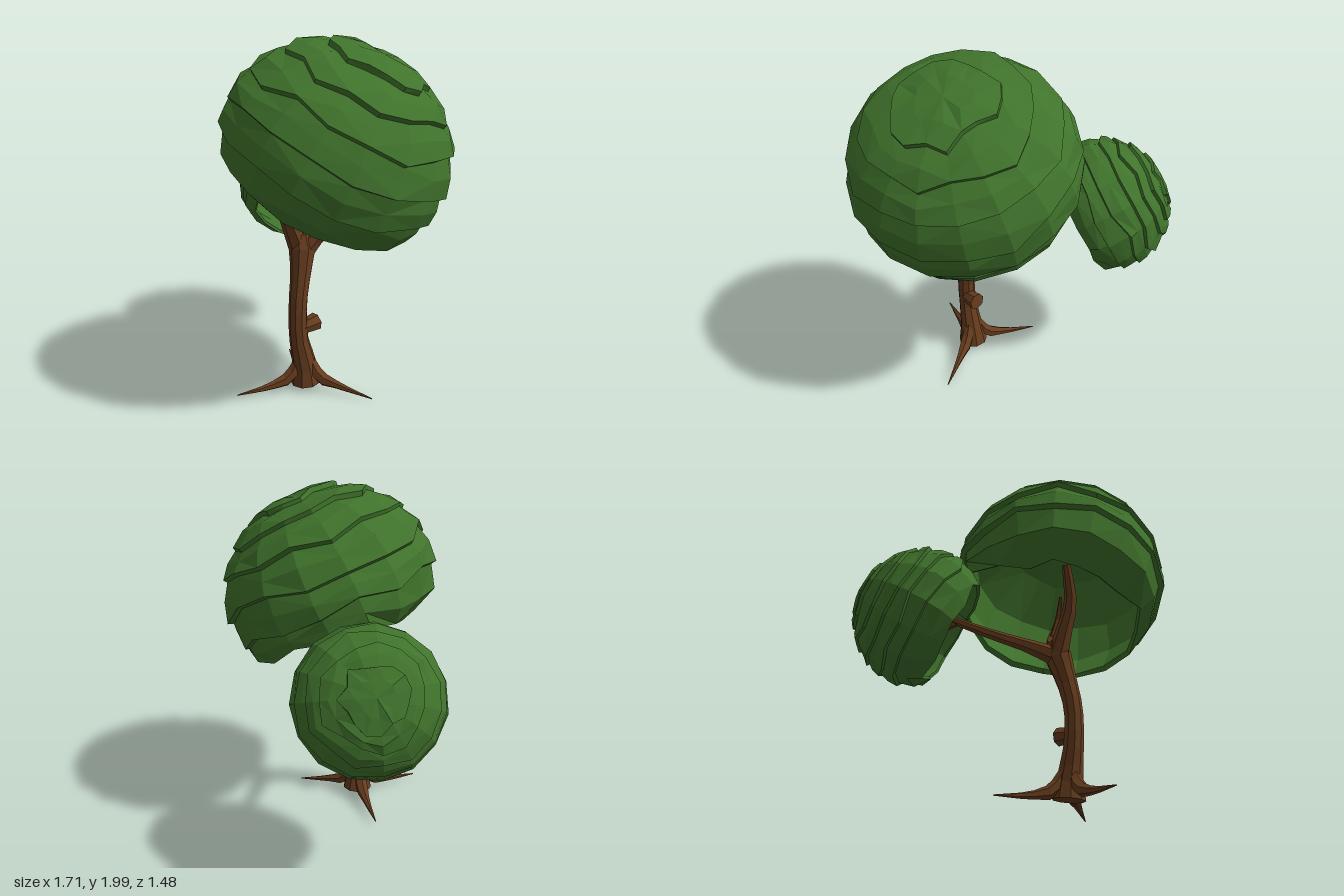
import * as THREE from 'three';

const bark = new THREE.MeshStandardMaterial({ color: 0x663c1e, flatShading: true, side: THREE.DoubleSide });
const leaf = new THREE.MeshStandardMaterial({ color: 0x40732c, flatShading: true, side: THREE.DoubleSide });

function seeded(seed) {
  return () => {
    seed = (seed * 16807) % 2147483647;
    return seed / 2147483647;
  };
}

// Faceted skin over rows of points, each row a closed loop
function skin(rows) {
  const n = rows[0].length, pos = [], index = [];
  rows.forEach(row => row.forEach(p => pos.push(p.x, p.y, p.z)));
  for (let i = 0; i < rows.length - 1; i++) {
    for (let j = 0; j < n; j++) {
      const a = i * n + j, b = i * n + (j + 1) % n, c = a + n, d = b + n;
      if ((i + j) % 2) index.push(a, b, c, b, d, c);
      else index.push(a, b, d, a, d, c);
    }
  }
  const geo = new THREE.BufferGeometry();
  geo.setAttribute('position', new THREE.Float32BufferAttribute(pos, 3));
  geo.setIndex(index);
  const flat = geo.toNonIndexed();
  flat.computeVertexNormals();
  return flat;
}

// Tapered limb; each point is [x, y, z, radius]
function limb(name, pts, sides = 6, steps = 6) {
  const curve = new THREE.CatmullRomCurve3(pts.map(p => new THREE.Vector3(p[0], p[1], p[2])));
  const frames = curve.computeFrenetFrames(steps);
  const rows = [];
  for (let i = 0; i <= steps; i++) {
    const u = i / steps, t = curve.getUtoTmapping(u), c = curve.getPoint(t);
    const f = t * (pts.length - 1), k = Math.min(Math.floor(f), pts.length - 2);
    const r = THREE.MathUtils.lerp(pts[k][3], pts[k + 1][3], f - k);
    const ring = [];
    for (let j = 0; j < sides; j++) {
      const a = (j / sides) * Math.PI * 2;
      ring.push(c.clone()
        .addScaledVector(frames.normals[i], Math.cos(a) * r)
        .addScaledVector(frames.binormals[i], Math.sin(a) * r));
    }
    if (i === 0) rows.push(ring.map(() => c));
    rows.push(ring);
    if (i === steps) rows.push(ring.map(() => c));
  }
  const mesh = new THREE.Mesh(skin(rows), bark);
  mesh.name = name;
  return mesh;
}

// Hollow dome of overlapping leaf tiers, tilted along an axis.
// frontDrop and sideDrop carry the rim further under towards +z and +x.
function canopy({ name, centre, axis, radius, height, seed, tiers, segs, frontDrop, sideDrop }) {
  const rand = seeded(seed), rows = [];
  const turn = j => (j / segs) * Math.PI * 2;
  const ring = (angles, r, wobble) => angles.map((phi, j) => {
    const tuck = 0.45 * Math.max(0, phi - 2.1);
    const k = (r - tuck) * (1 + (rand() - 0.5) * wobble);
    return new THREE.Vector3(
      Math.sin(phi) * Math.cos(turn(j)) * radius * k,
      Math.cos(phi) * height * k,
      Math.sin(phi) * Math.sin(turn(j)) * radius * k);
  });
  const angles = (phi, jitter) => Array.from({ length: segs }, () => phi + (rand() - 0.5) * jitter);

  rows.push(ring(angles(0, 0), 0.99, 0));
  let top = angles(0.03, 0);
  for (let t = 0; t < tiers; t++) {
    const last = t === tiers - 1;
    const bottom = last
      ? angles(2.2, 0.26).map((a, j) => a + frontDrop * Math.sin(turn(j)) + sideDrop * Math.cos(turn(j)))
      : angles(0.42 + (t / (tiers - 2)) * 1.36, 0.15);
    if (t > 0) rows.push(ring(top.map(a => a + 0.02), 0.97, 0.01));
    rows.push(ring(top.map((a, j) => (a + bottom[j]) / 2), 0.995, 0.035));
    rows.push(ring(bottom, 1.015, 0.02));
    top = bottom;
  }
  // Rim and inner wall
  rows.push(ring(top.map(a => a - 0.01), 0.97, 0.02));
  for (const [phi, r] of [[1.65, 0.95], [1.2, 0.94], [0.6, 0.94], [0, 0.94]])
    rows.push(ring(angles(phi, phi ? 0.12 : 0), r, phi ? 0.03 : 0));

  const mesh = new THREE.Mesh(skin(rows), leaf);
  mesh.name = name;
  mesh.position.set(...centre);
  mesh.quaternion.setFromUnitVectors(new THREE.Vector3(0, 1, 0), new THREE.Vector3(...axis).normalize());
  return mesh;
}

export function createModel() {
  const tree = new THREE.Group();
  tree.name = 'tree';

  // Trunk
  tree.add(limb('trunk', [
    [0.11, 0.04, 0.21, 0.09], [0.11, 0.15, 0.22, 0.07], [0.1, 0.32, 0.255, 0.054],
    [0.1, 0.52, 0.26, 0.052], [0.09, 0.7, 0.225, 0.058], [0.07, 0.84, 0.19, 0.078], [0.06, 0.92, 0.19, 0.055],
  ], 9, 10));

  // Roots
  const roots = [[0.49, 0.005, 0.07], [-0.24, 0.035, -0.01], [-0.06, 0.035, 0.59]];
  roots.forEach(([x, y, z]) => {
    const dx = x - 0.11, dz = z - 0.22;
    tree.add(limb('root', [
      [0.11 + dx * 0.08, 0.18, 0.22 + dz * 0.08, 0.03],
      [0.11 + dx * 0.22, 0.085, 0.22 + dz * 0.22, 0.044],
      [0.11 + dx * 0.5, 0.05, 0.22 + dz * 0.5, 0.022],
      [x, y, z, 0.003],
    ], 6, 6));
  });

  // Cut branch stub
  tree.add(limb('stub', [[0.11, 0.385, 0.25, 0.04], [0.122, 0.39, 0.21, 0.045], [0.13, 0.395, 0.145, 0.052]], 7, 3));

  // Main branches
  tree.add(limb('upperBranch', [
    [0.06, 0.82, 0.19, 0.065], [0.045, 0.95, 0.245, 0.05], [0.03, 1.12, 0.31, 0.038], [-0.05, 1.32, 0.34, 0.025]], 7));
  tree.add(limb('leftBranch', [
    [0.08, 0.82, 0.19, 0.06], [0.15, 0.94, 0.11, 0.042], [0.25, 1.04, 0.03, 0.036], [0.4, 1.2, -0.04, 0.025]], 7));
  tree.add(limb('rightBranch', [
    [0.06, 0.83, 0.19, 0.06], [-0.06, 0.89, 0.07, 0.038], [-0.2, 0.94, -0.06, 0.03],
    [-0.36, 1.02, -0.23, 0.022]], 7));

  // Twigs
  tree.add(limb('twig', [[-0.34, 1.01, -0.21, 0.022], [-0.39, 0.96, -0.29, 0.018], [-0.44, 0.93, -0.37, 0.012]], 5, 4));
  tree.add(limb('twig', [[-0.34, 1.01, -0.21, 0.022], [-0.38, 1.05, -0.26, 0.016], [-0.41, 1.09, -0.31, 0.008]], 5, 4));
  tree.add(limb('twig', [[0.03, 1.12, 0.31, 0.028], [0.07, 1.22, 0.29, 0.02], [0.1, 1.36, 0.26, 0.01]], 5, 4));
  tree.add(limb('twig', [[0.25, 1.04, 0.03, 0.028], [0.27, 1.17, 0.06, 0.02], [0.25, 1.32, 0.1, 0.01]], 5, 4));

  // Foliage
  tree.add(canopy({
    name: 'largeCanopy', centre: [0.24, 1.42, 0.1], axis: [0.42, 0.9, -0.17],
    radius: 0.63, height: 0.55, seed: 71, tiers: 6, segs: 17, frontDrop: 0.2, sideDrop: -0.1,
  }));
  tree.add(canopy({
    name: 'smallCanopy', centre: [-0.475, 1.03, -0.36], axis: [-0.65, 0.45, -0.6],
    radius: 0.395, height: 0.36, seed: 233, tiers: 7, segs: 15, frontDrop: 0, sideDrop: 0,
  }));
  return tree;
}
